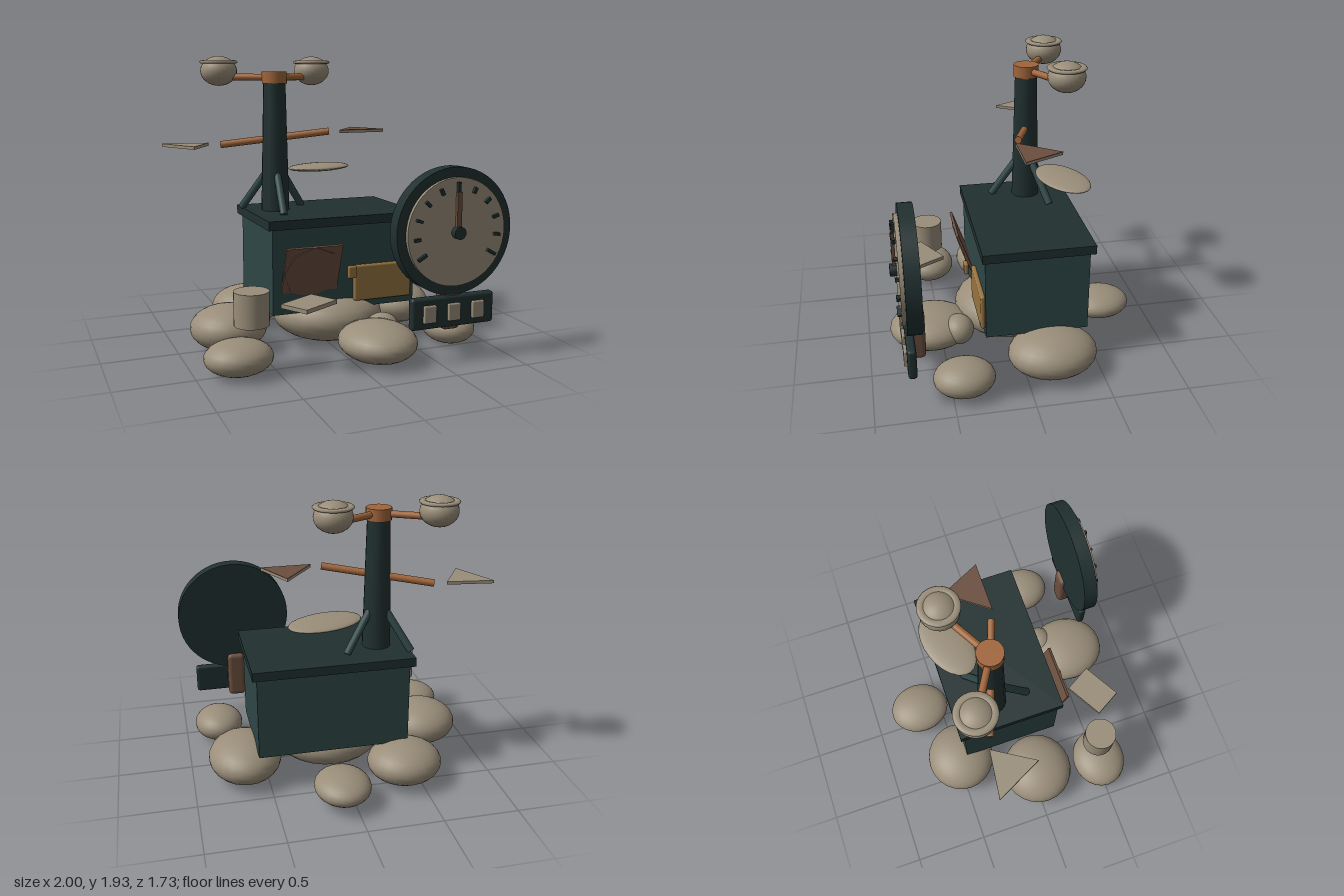
import * as THREE from 'three';
import { RoundedBoxGeometry } from 'three/addons/geometries/RoundedBoxGeometry.js';

const material = (name, color) => {
  const m = new THREE.MeshStandardMaterial({ color });
  m.name = name;
  return m;
};

export function createModel() {
  const model = new THREE.Group();
  model.name = 'weatherStation';

  const stone = material('stone', 0x9a8e7a);
  const dark = material('darkIron', 0x213030);
  const teal = material('teal', 0x2e4646);
  const brown = material('brown', 0x6b4f3f);
  const copper = material('copper', 0xa0653a);
  const brass = material('brass', 0x977441);

  const add = (name, geometry, mat, pos = [0, 0, 0], parent = model) => {
    const mesh = new THREE.Mesh(geometry, mat);
    mesh.name = name;
    mesh.position.set(...pos);
    parent.add(mesh);
    return mesh;
  };
  const box = (w, h, d) => new THREE.BoxGeometry(w, h, d);
  const rounded = (w, h, d, r) => new RoundedBoxGeometry(w, h, d, 3, r);
  const ellipsoid = (rx, ry, rz) => new THREE.SphereGeometry(1, 24, 16).scale(rx, ry, rz);
  // Disc whose axis points forward
  const dial = (r, depth, sides = 48) => new THREE.CylinderGeometry(r, r, depth, sides).rotateX(Math.PI / 2);
  // Round bar between two points
  const bar = (name, a, b, r, mat) => {
    const from = new THREE.Vector3(...a), to = new THREE.Vector3(...b);
    const mesh = add(name, new THREE.CylinderGeometry(r, r, from.distanceTo(to), 12), mat);
    mesh.position.copy(from).lerp(to, 0.5);
    mesh.quaternion.setFromUnitVectors(new THREE.Vector3(0, 1, 0), to.clone().sub(from).normalize());
    return mesh;
  };
  // Horizontal plate from [x, z] corners
  const plate = (corners, thickness) => {
    const shape = new THREE.Shape(corners.map(([x, z]) => new THREE.Vector2(x, -z)));
    return new THREE.ExtrudeGeometry(shape, { depth: thickness, bevelEnabled: false }).rotateX(-Math.PI / 2);
  };

  // Boulders: centre, radii
  const rocks = [
    [[0.04, 0.2, 0], [0.38, 0.19, 0.385]],
    [[0.075, 0.14, -0.655], [0.185, 0.097, 0.215]],
    [[-0.395, 0.16, -0.475], [0.25, 0.14, 0.24]],
    [[-0.67, 0.17, 0.035], [0.255, 0.15, 0.25]],
    [[-0.735, 0.125, 0.505], [0.217, 0.112, 0.19]],
    [[0.165, 0.137, 0.57], [0.25, 0.127, 0.285]],
    [[0.28, 0.16, 0.395], [0.115, 0.1, 0.105]],
    [[0.765, 0.125, 0.42], [0.172, 0.112, 0.2]],
    [[0.645, 0.162, -0.18], [0.245, 0.15, 0.295]],
  ];
  rocks.forEach(([p, r], i) => add('boulder' + (i + 1), ellipsoid(...r), stone, p));

  // Cabinet
  add('cabinet', box(1.01, 0.57, 0.68), teal, [0.075, 0.56, -0.09]);
  add('cabinetLid', box(1.07, 0.06, 0.73), dark, [0.075, 0.868, -0.095]);

  // Tilted hatch on the front
  const hatch = new THREE.Group();
  hatch.name = 'hatch';
  hatch.position.set(-0.178, 0.555, 0.29);
  hatch.rotation.x = 0.34;
  model.add(hatch);
  add('hatchPanel', box(0.385, 0.375, 0.018), brown, [0, 0, 0], hatch);
  add('hatchOctagon', dial(0.19, 0.008, 8), brown, [0, 0, 0.012], hatch);

  // Brass plate with its knob
  add('brassPlate', rounded(0.42, 0.245, 0.035, 0.015), brass, [0.34, 0.443, 0.262]);
  add('brassKnob', rounded(0.065, 0.085, 0.03, 0.013), brass, [0.1, 0.533, 0.31]);

  // Mast on a tripod
  const mx = -0.268, mz = -0.175;
  add('mast', new THREE.CylinderGeometry(0.075, 0.096, 0.87, 16), dark, [mx, 1.328, mz]);
  for (const [x, z] of [[-0.46, -0.34], [-0.035, -0.3], [-0.288, 0.065]]) {
    const top = [mx + (x - mx) * 0.22, 1.165, mz + (z - mz) * 0.22];
    bar('mastLeg', top, [x, 0.9, z], 0.026, teal);
  }

  // Wind cups
  add('cupHub', new THREE.CylinderGeometry(0.084, 0.084, 0.08, 20), copper, [mx, 1.797, mz]);
  for (const x of [-0.6, 0.073]) {
    const z = -0.37;
    bar('cupArm', [mx, 1.797, mz], [x, 1.8, z], 0.023, copper);
    add('cupBowl', ellipsoid(0.124, 0.1, 0.124), stone, [x, 1.84, z]);
    const rim = new THREE.TorusGeometry(0.105, 0.025, 8, 32).rotateX(Math.PI / 2).scale(1, 0.5, 1);
    add('cupRim', rim, stone, [x, 1.9, z]);
  }

  // Vane rod with its triangular plates
  bar('vaneRod', [-0.615, 1.345, -0.3], [0.08, 1.435, -0.055], 0.024, copper);
  add('tailPlate', plate([[-1, -0.37], [-0.85, -0.07], [-0.69, -0.33]], 0.02), stone, [0, 1.338, 0]);
  const arrow = [[0.145, -0.025], [0.475, -0.025], [0.345, -0.29]];
  add('arrowPlate', plate(arrow, 0.016), stone, [0, 1.422, 0]);
  add('arrowTop', plate(arrow, 0.005), brown, [0, 1.438, 0]);

  // Flat pebble above the lid
  const pebble = add('flatPebble', ellipsoid(0.255, 0.027, 0.15), stone, [0.122, 1.157, -0.35]);
  pebble.rotation.y = 0.32;

  // Drum and small slab at the side
  add('drum', new THREE.CylinderGeometry(0.11, 0.11, 0.212, 28), stone, [-0.652, 0.425, 0.51]);
  const slab = add('slab', box(0.29, 0.026, 0.205), stone, [-0.31, 0.435, 0.59]);
  slab.rotation.y = 0.52;

  // Round gauge
  const gx = 0.595, gy = 0.853;
  add('gaugeCase', dial(0.405, 0.095, 56), dark, [gx, gy, 0.722]);
  add('gaugeFace', dial(0.343, 0.025), stone, [gx, gy, 0.782]);
  for (let i = 0; i <= 10; i++) {
    const a = THREE.MathUtils.degToRad(-30 + 24 * i), major = i % 5 === 0;
    const tick = add('gaugeTick', box(major ? 0.065 : 0.04, 0.019, 0.024), dark,
      [gx + 0.283 * Math.cos(a), gy + 0.283 * Math.sin(a), 0.805]);
    tick.rotation.z = a;
  }
  add('gaugeNeedle', box(0.032, 0.25, 0.022), brown, [gx, gy + 0.128, 0.81]);
  add('gaugeHub', dial(0.04, 0.05, 20), dark, [gx, gy, 0.814]);

  // Gauge post and counter strip
  add('gaugePost', rounded(0.125, 0.335, 0.12, 0.03), brown, [0.592, 0.383, 0.705]);
  add('counterPanel', rounded(0.59, 0.205, 0.056, 0.02), dark, [gx, 0.342, 0.748]);
  for (const dx of [-0.172, 0, 0.172]) {
    add('counterWindow', rounded(0.088, 0.112, 0.03, 0.008), stone, [gx + dx, 0.34, 0.78]);
  }
  return model;
}
